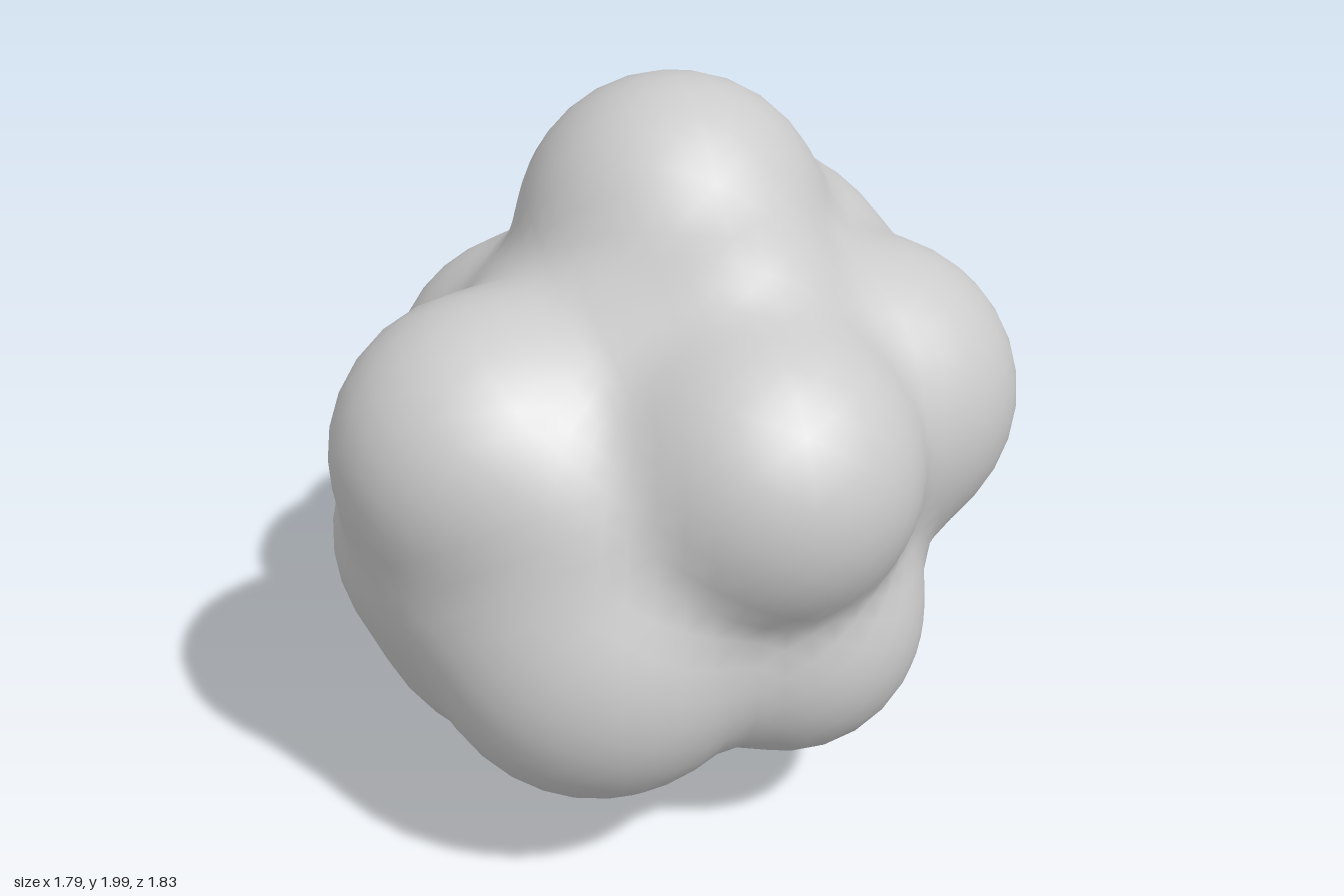
import * as THREE from 'three';
import { mergeVertices } from 'three/addons/utils/BufferGeometryUtils.js';

// Lumps of the woolly body: x, y, z, radius
const LUMPS = [
  [0, 1, -0.05, 0.72],         // core
  [-0.05, 1.58, -0.2, 0.41],   // crown
  [-0.15, 1.52, -0.28, 0.34],  // crown, -x
  [0.17, 1.46, 0.08, 0.29],    // crown, front slope
  [-0.03, 1.38, -0.36, 0.41],  // crown, back slope
  [0.12, 1.26, -0.48, 0.41],   // upper back, +x
  [-0.2, 1.2, -0.47, 0.39],    // upper back, -x
  [0.3, 1.14, -0.39, 0.35],    // back corner, +x
  [-0.38, 0.82, -0.36, 0.34],  // ridge from side to face, -x
  [-0.4, 1.16, 0.4, 0.415],    // upper front, -x
  [0.32, 1.18, 0.36, 0.405],   // upper front, +x
  [-0.1, 1, 0.4, 0.41],        // middle front
  [-0.1, 0.71, 0.46, 0.46],    // lower front
  [-0.4, 0.85, 0.42, 0.34],    // front corner, -x
  [0.48, 1.16, -0.17, 0.42],   // upper side, +x
  [0.34, 0.66, 0.2, 0.385],    // lower side, +x
  [-0.5, 0.81, 0.23, 0.395],   // lower side, -x
  [-0.42, 0.58, 0.32, 0.3],    // low corner, -x
  [-0.47, 1.04, -0.26, 0.41],  // upper side, -x
  [-0.05, 0.56, -0.47, 0.445], // face
  [0, 0.42, -0.28, 0.42],      // underside
  [-0.1, 0.54, 0.08, 0.38],    // underside, front
  [-0.35, 0.4, -0.18, 0.28],   // underside, -x
].map(([x, y, z, r]) => ({ c: new THREE.Vector3(x, y, z), r }));

const ORIGIN = new THREE.Vector3(0, 1, -0.05);
const SOFTNESS = 0.042;

// Softly blended distance from the origin to the outside of all lumps
function reach(dir) {
  let sum = 0;
  for (const { c, r } of LUMPS) {
    const rel = c.clone().sub(ORIGIN);
    const along = rel.dot(dir);
    const disc = along * along - rel.lengthSq() + r * r;
    if (disc < 0) continue;
    sum += Math.exp((along + Math.sqrt(disc)) / SOFTNESS);
  }
  return SOFTNESS * Math.log(sum);
}

function bodyGeometry() {
  let geo = new THREE.IcosahedronGeometry(1, 12);
  geo.deleteAttribute('normal');
  geo.deleteAttribute('uv');
  geo = mergeVertices(geo, 1e-4);
  const pos = geo.attributes.position;
  const v = new THREE.Vector3();
  for (let i = 0; i < pos.count; i++) {
    v.fromBufferAttribute(pos, i).normalize();
    v.multiplyScalar(reach(v)).add(ORIGIN);
    pos.setXYZ(i, v.x, v.y, v.z);
  }
  geo.computeVertexNormals();
  return geo;
}

export function createModel() {
  const model = new THREE.Group();
  const material = new THREE.MeshStandardMaterial({ color: 0xcccccc });

  const body = new THREE.Mesh(bodyGeometry(), material);
  body.name = 'woollyBody';
  model.add(body);

  // Two flattened oval eyes on the face lump
  const eyeGeo = new THREE.SphereGeometry(1, 28, 20);
  eyeGeo.scale(0.135, 0.21, 0.07);
  for (const side of [-1, 1]) {
    const angle = side * 0.66;
    const eye = new THREE.Mesh(eyeGeo, material);
    eye.name = side > 0 ? 'leftEye' : 'rightEye';
    eye.position.set(-0.07 + Math.sin(angle) * 0.44, 0.58, -0.45 - Math.cos(angle) * 0.43);
    eye.rotation.y = -angle;
    model.add(eye);
  }
  return model;
}
